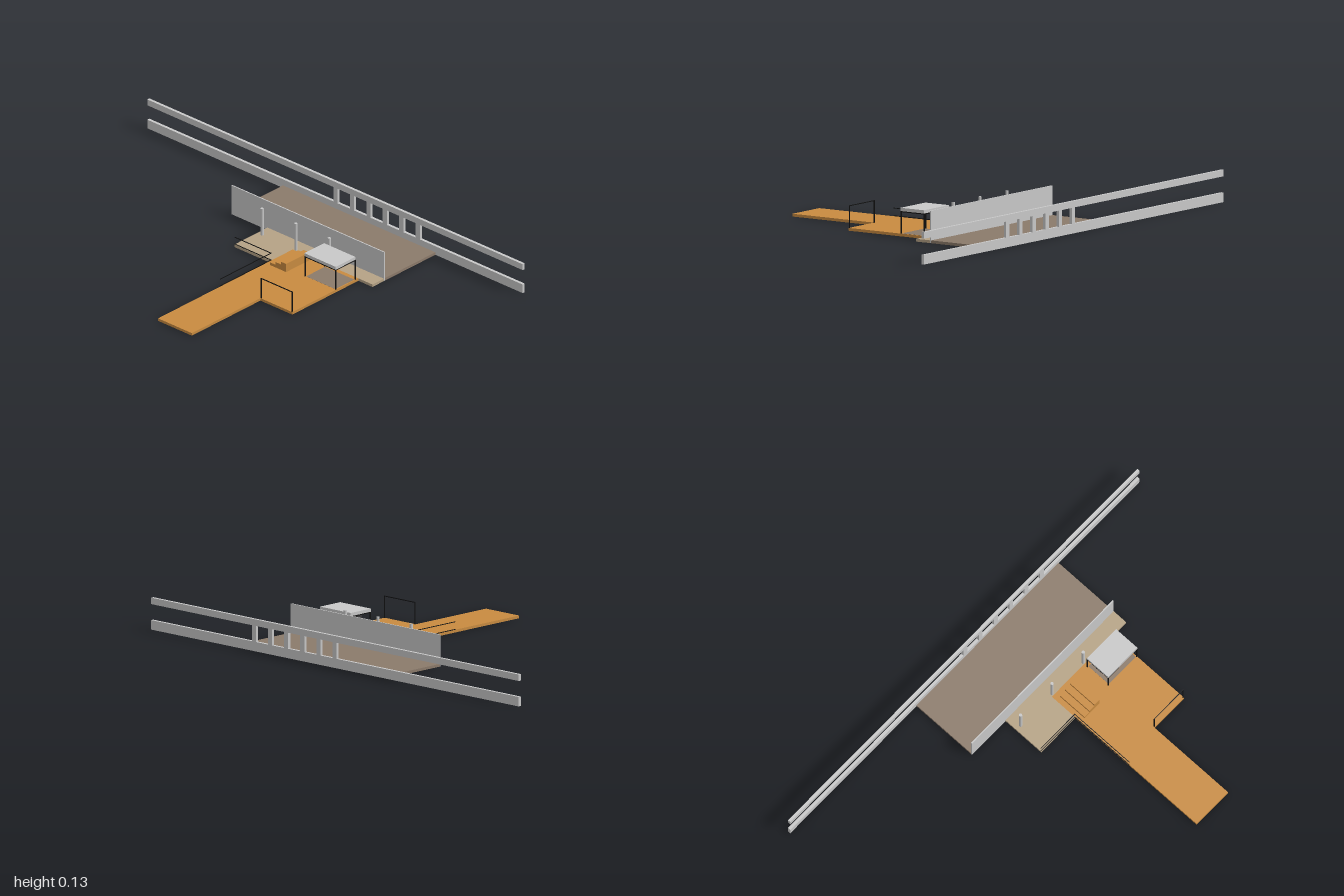
import * as THREE from 'three';

const mat = (name, color, side = THREE.FrontSide) => {
  const m = new THREE.MeshStandardMaterial({ color, side });
  m.name = name;
  return m;
};

export function createModel() {
  const model = new THREE.Group();
  model.name = 'terrace';
  const grey = mat('light grey concrete', 0xc8c8c8);
  const brown = mat('brown floor', 0x8b7a6a);
  const tan = mat('tan paving', 0xb5a285);
  const wood = mat('orange wood', 0xc88b40);
  const black = mat('black metal', 0x101010);
  const dark = mat('dark grey', 0x38383a);

  // Box given by its limits on each axis
  const box = (name, m, x0, x1, y0, y1, z0, z1, parent = model) => {
    const mesh = new THREE.Mesh(new THREE.BoxGeometry(x1 - x0, y1 - y0, z1 - z0), m);
    mesh.position.set((x0 + x1) / 2, (y0 + y1) / 2, (z0 + z1) / 2);
    mesh.name = name;
    parent.add(mesh);
    return mesh;
  };
  // Flat slab from an outline of [x, z] points, with an optional opening
  const slab = (name, m, outline, y0, y1, hole) => {
    const toPoints = (a) => a.map(([x, z]) => new THREE.Vector2(x, -z));
    const shape = new THREE.Shape(toPoints(outline));
    if (hole) shape.holes.push(new THREE.Path(toPoints(hole)));
    const geo = new THREE.ExtrudeGeometry(shape, { depth: y1 - y0, bevelEnabled: false });
    geo.rotateX(-Math.PI / 2);
    const mesh = new THREE.Mesh(geo, m);
    mesh.position.y = y0;
    mesh.name = name;
    model.add(mesh);
  };
  const group = (name) => {
    const g = new THREE.Group();
    g.name = name;
    model.add(g);
    return g;
  };

  // Long outer wall: two bands joined by narrow window piers
  const facade = group('outerWall');
  box('lowerBand', grey, 0.562, 0.574, 0, 0.038, -1, 1, facade);
  box('upperBand', grey, 0.562, 0.574, 0.102, 0.128, -1, 1, facade);
  for (let i = 0; i < 6; i++) {
    const z = 0.441 - i * 0.0877;
    box('windowPier', grey, 0.562, 0.574, 0.038, 0.102, z - 0.011, z + 0.011, facade);
  }

  // Indoor floor and inner wall
  box('indoorFloor', brown, 0.271, 0.562, 0, 0.011, -0.277, 0.535);
  box('innerWall', grey, 0.266, 0.271, 0, 0.128, -0.277, 0.535);

  // Paved strip and wooden deck
  slab('paving', tan, [[0.075, -0.085], [0.266, -0.085], [0.266, 0.535], [0.2, 0.535],
    [0.2, 0.11], [0.075, 0.11]], 0, 0.011);
  slab('deck', wood, [[-0.574, 0.11], [0.2, 0.11], [0.2, 0.46], [-0.18, 0.46],
    [-0.18, 0.29], [-0.574, 0.29]], 0, 0.011,
  [[0.073, 0.3], [0.181, 0.3], [0.181, 0.455], [0.073, 0.455]]);
  box('shelterFloor', brown, 0.073, 0.181, 0, 0.0115, 0.3, 0.455);

  // Steps rising towards the front
  const steps = group('steps');
  for (let i = 0; i < 3; i++) {
    box('step', wood, 0.046, 0.178, 0.011, 0.023 + i * 0.012,
      0.132 + i * 0.0287, 0.132 + (i + 1) * 0.0287, steps);
  }

  // Round columns
  for (const z of [-0.06, 0.12, 0.298]) {
    const column = new THREE.Mesh(new THREE.CylinderGeometry(0.0065, 0.0065, 0.118, 16), grey);
    column.position.set(0.208, 0.069, z);
    column.name = 'column';
    model.add(column);
  }

  // Shelter: roof on a slim black frame with a hanging box
  const shelter = group('shelter');
  box('roof', grey, 0.07, 0.183, 0.1, 0.113, 0.293, 0.46, shelter);
  for (const x of [0.07, 0.182]) {
    for (const z of [0.293, 0.456]) {
      box('shelterLeg', black, x, x + 0.004, 0.011, 0.096, z, z + 0.004, shelter);
    }
    box('sideBeam', black, x, x + 0.004, 0.096, 0.1, 0.293, 0.46, shelter);
  }
  for (const z of [0.293, 0.456]) {
    box('crossBeam', black, 0.074, 0.182, 0.096, 0.1, z, z + 0.004, shelter);
  }
  box('hangingBox', dark, 0.113, 0.141, 0.074, 0.1, 0.298, 0.315, shelter);

  // Thin frame at the deck's inner corner
  const frame = group('deckFrame');
  for (const z of [0.291, 0.456]) {
    box('framePost', black, -0.179, -0.176, 0.011, 0.1, z, z + 0.003, frame);
  }
  box('frameRail', black, -0.179, -0.176, 0.097, 0.1, 0.291, 0.459, frame);

  // Rails following the back edge
  const rails = group('rails');
  for (const y of [0.0115, 0.042]) {
    box('deckRail', black, -0.215, 0.078, y, y + 0.0025, 0.108, 0.1105, rails);
    box('pavingRail', black, 0.0755, 0.078, y, y + 0.0025, -0.085, 0.108, rails);
  }

  return model;
}
